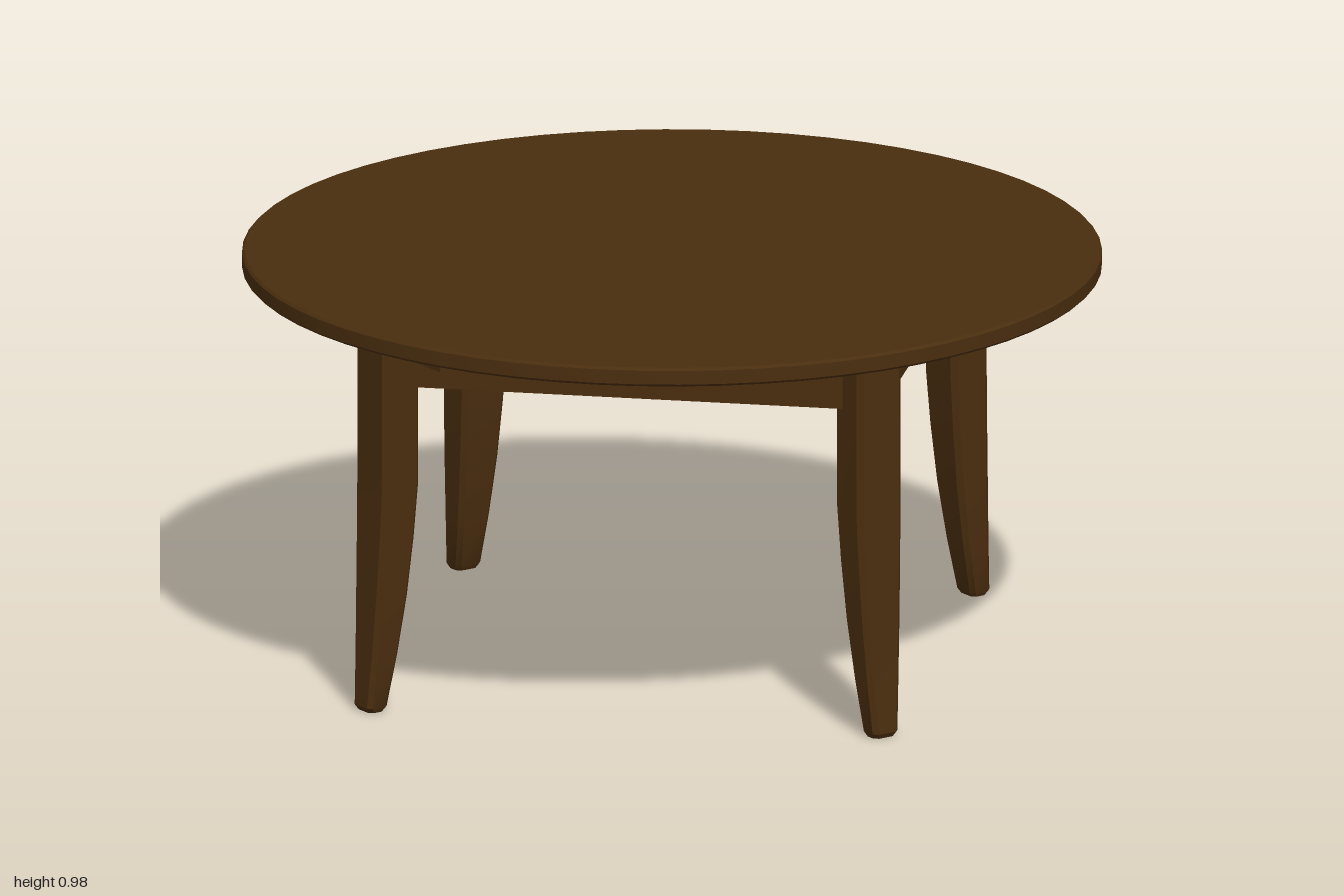
import * as THREE from 'three';
import { toCreasedNormals } from 'three/addons/utils/BufferGeometryUtils.js';

const wood = new THREE.MeshStandardMaterial({ color: 0x4a2e0f });
wood.name = 'dark brown wood';

function addMesh(parent, name, geometry, x = 0, y = 0, z = 0) {
  const mesh = new THREE.Mesh(geometry, wood);
  mesh.name = name;
  mesh.position.set(x, y, z);
  parent.add(mesh);
  return mesh;
}

function addBox(parent, name, [w, h, d], [x, y, z]) {
  return addMesh(parent, name, new THREE.BoxGeometry(w, h, d), x, y, z);
}

// Chamfered leg lofted from sections: [height, width, inner radius, outer radius, chamfer].
// Outward is +z here; width lies along x.
function legGeometry() {
  const sections = [
    [0.005, 0.058, 0.831, 0.873, 0.01],
    [0.017, 0.07, 0.824, 0.88, 0.01],
    [0.14, 0.088, 0.8, 0.872, 0.011],
    [0.28, 0.105, 0.778, 0.865, 0.012],
    [0.42, 0.117, 0.763, 0.859, 0.012],
    [0.55, 0.125, 0.753, 0.855, 0.012],
    [0.936, 0.125, 0.753, 0.855, 0.012],
  ];
  const pos = [], index = [];
  for (const [y, width, rIn, rOut, c] of sections) {
    const w = width / 2;
    const ring = [
      [w, rIn + c], [w, rOut - c], [w - c, rOut], [c - w, rOut],
      [-w, rOut - c], [-w, rIn + c], [c - w, rIn], [w - c, rIn],
    ];
    for (const [x, z] of ring) pos.push(x, y, z);
  }
  const n = 8, last = (sections.length - 1) * n;
  for (let s = 0; s < last; s += n) {
    for (let i = 0; i < n; i++) {
      const j = (i + 1) % n;
      index.push(s + i, s + n + i, s + j, s + j, s + n + i, s + n + j);
    }
  }
  for (let i = 1; i < n - 1; i++) {
    index.push(0, i, i + 1, last, last + i + 1, last + i);
  }
  const g = new THREE.BufferGeometry();
  g.setAttribute('position', new THREE.Float32BufferAttribute(pos, 3));
  g.setIndex(index);
  return toCreasedNormals(g, 0.5);
}

export function createModel() {
  const table = new THREE.Group();
  table.name = 'roundTable';

  // Round top with slightly eased rims
  const profile = [[0, 0.935], [0.994, 0.935], [1, 0.941], [1, 0.974], [0.994, 0.98], [0, 0.98]]
    .map(([r, y]) => new THREE.Vector2(r, y));
  addMesh(table, 'tableTop', toCreasedNormals(new THREE.LatheGeometry(profile, 64), 0.5));

  // Legs set diagonally, with a bolted brace inside each corner
  const leg = legGeometry();
  for (let i = 0; i < 4; i++) {
    const corner = new THREE.Group();
    corner.name = 'legCorner';
    corner.rotation.y = Math.PI / 4 + i * Math.PI / 2;
    addMesh(corner, 'leg', leg);
    addBox(corner, 'cornerBrace', [0.2, 0.11, 0.03], [0, 0.865, 0.69]);
    const bolt = addMesh(corner, 'braceBolt', new THREE.CylinderGeometry(0.012, 0.012, 0.02, 12), 0, 0.865, 0.667);
    bolt.rotation.x = Math.PI / 2;
    table.add(corner);
  }

  // Square apron between the legs
  for (let i = 0; i < 4; i++) {
    const side = new THREE.Group();
    side.name = 'apronSide';
    side.rotation.y = i * Math.PI / 2;
    addBox(side, 'apron', [1.1, 0.146, 0.05], [0, 0.863, 0.575]);
    table.add(side);
  }

  // Pair of extension slides running diagonally under the top
  const slides = new THREE.Group();
  slides.name = 'slides';
  slides.rotation.y = Math.PI / 4;
  for (const s of [-1, 1]) {
    addBox(slides, 'slide', [1.7, 0.048, 0.11], [0, 0.912, s * 0.225]);
    addBox(slides, 'innerRunner', [0.9, 0.035, 0.03], [0, 0.919, s * 0.155]);
  }
  table.add(slides);

  return table;
}
